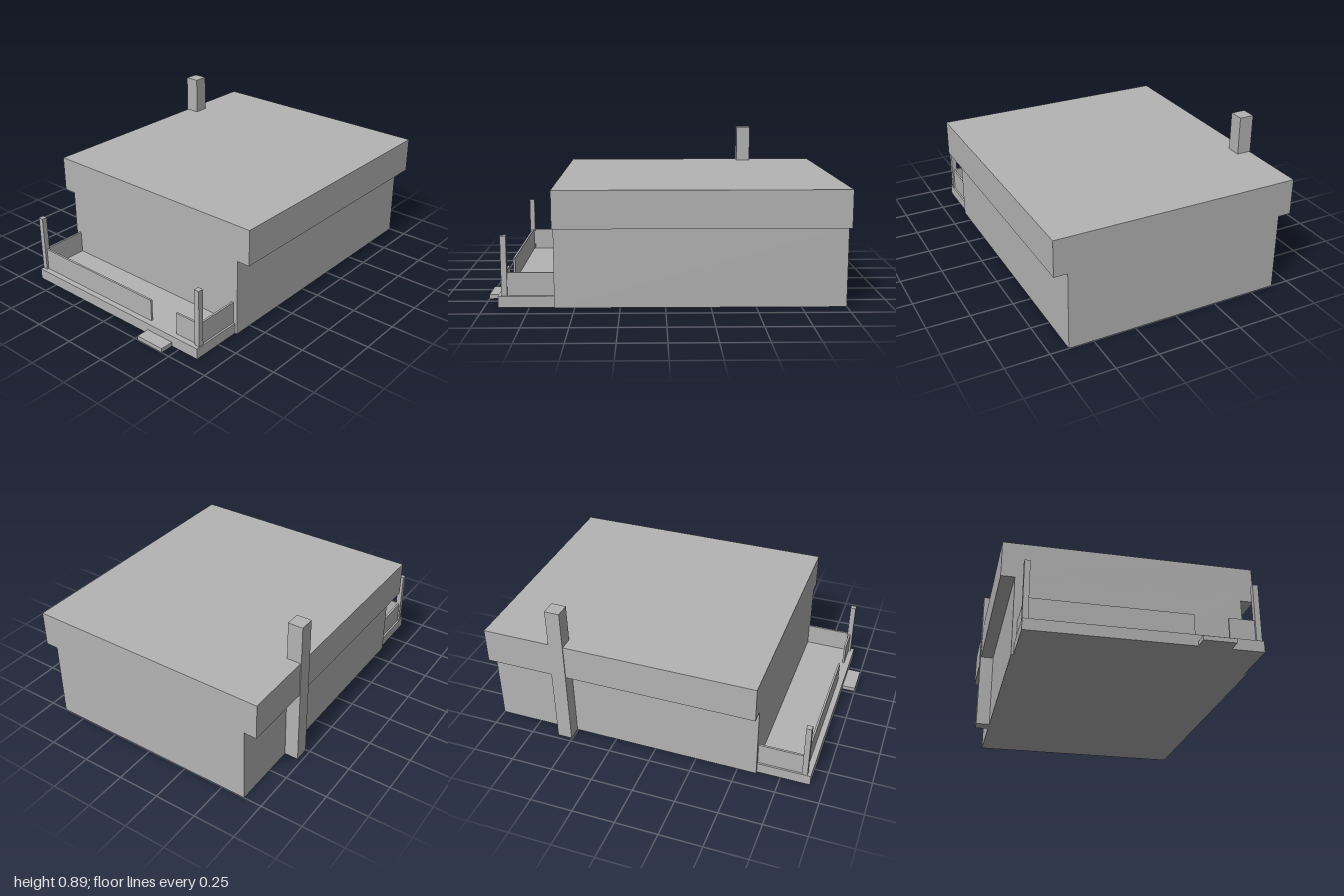
import * as THREE from 'three';

export function createModel() {
  const house = new THREE.Group();
  house.name = 'house';
  const grey = new THREE.MeshStandardMaterial({ color: 0xb4b4b4 });
  grey.name = 'plain grey';

  // Box given by its lower and upper limits on each axis
  function block(name, [x0, x1], [y0, y1], [z0, z1]) {
    const mesh = new THREE.Mesh(new THREE.BoxGeometry(x1 - x0, y1 - y0, z1 - z0), grey);
    mesh.position.set((x0 + x1) / 2, (y0 + y1) / 2, (z0 + z1) / 2);
    mesh.name = name;
    house.add(mesh);
  }

  const deckTop = 0.064, railTop = 0.195, wallFront = 0.612;

  // Main volume, roof slab and chimney
  block('walls', [-0.643, 0.643], [0, 0.455], [-1, wallFront]);
  block('roof', [-0.72, 0.72], [0.455, 0.665], [-1, wallFront]);
  block('chimney', [-0.725, -0.638], [0, 0.89], [-0.592, -0.505]);

  // Porch deck and entry step
  block('deck', [-0.63, 0.63], [0, deckTop], [wallFront, 0.922]);
  block('step', [0.27, 0.45], [0, 0.025], [0.922, 1]);

  // Front rails, with a gap at the step
  block('frontRailLong', [-0.597, 0.268], [deckTop, railTop], [0.877, 0.889]);
  block('frontRailShort', [0.456, 0.597], [deckTop, railTop], [0.877, 0.889]);

  // Corner posts and side rails
  for (const side of [-1, 1]) {
    const span = (a, b) => (side > 0 ? [a, b] : [-b, -a]);
    block('post', span(0.597, 0.628), [deckTop, 0.402], [0.87, 0.902]);
    block('sideRail', span(0.607, 0.619), [deckTop, railTop], [wallFront, 0.87]);
  }
  return house;
}
